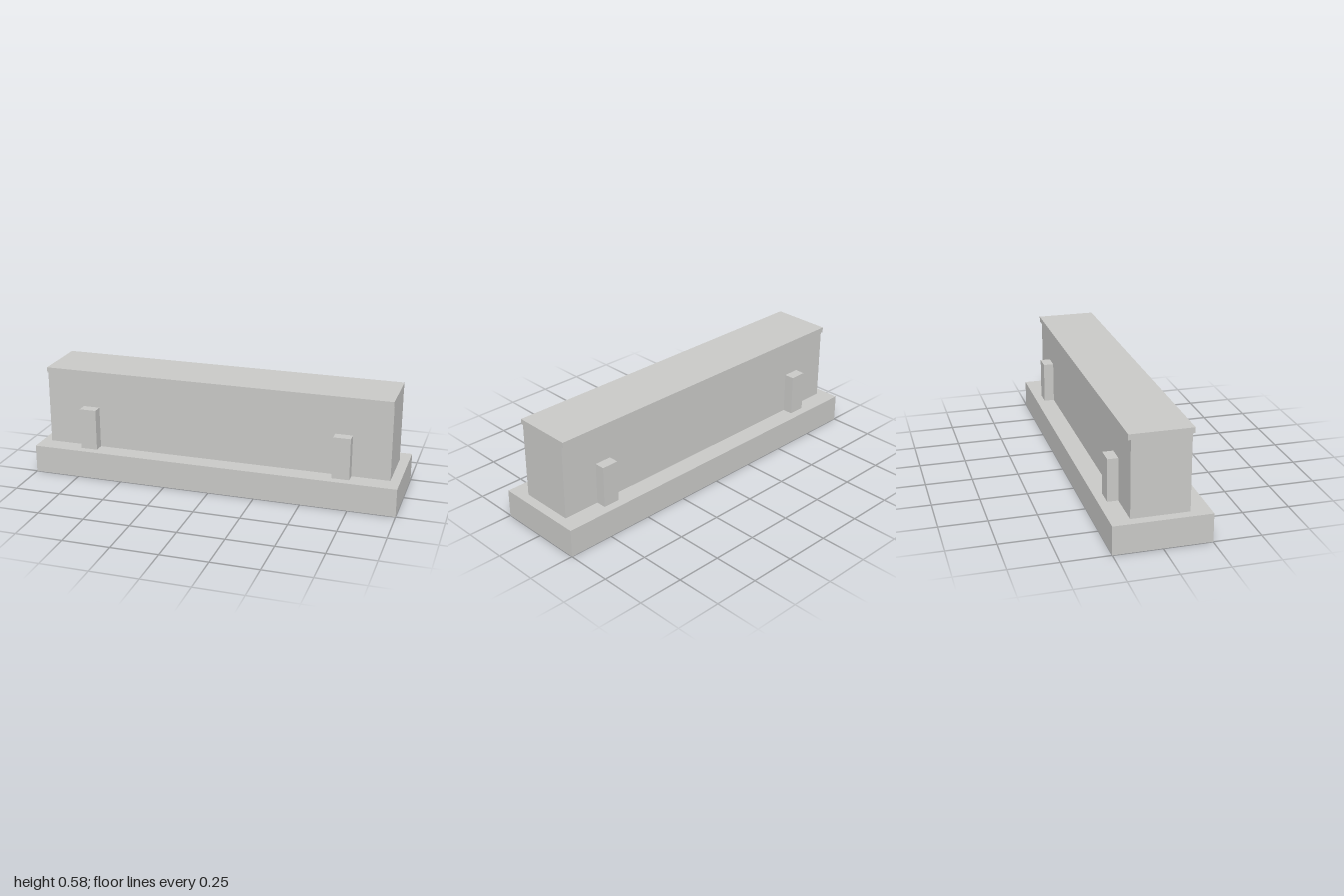
import * as THREE from 'three';

export function createModel() {
  const model = new THREE.Group();
  model.name = 'wallOnPlinth';
  const stone = new THREE.MeshStandardMaterial({ color: 0xc8c8c6 });
  stone.name = 'light grey stone';

  // Box standing on height y
  function block(name, width, height, depth, x, y, z) {
    const mesh = new THREE.Mesh(new THREE.BoxGeometry(width, height, depth), stone);
    mesh.name = name;
    mesh.position.set(x, y + height / 2, z);
    model.add(mesh);
  }

  block('plinth', 2, 0.151, 0.502, 0, 0, 0);
  block('wall', 1.898, 0.402, 0.299, 0, 0.151, 0);
  block('capSlab', 1.898, 0.029, 0.324, 0, 0.553, 0);

  // Short buttresses against both long faces
  for (const side of [1, -1]) {
    const face = side > 0 ? 'front' : 'back';
    block(face + 'LeftButtress', 0.092, 0.225, 0.056, 0.7, 0.151, side * 0.177);
    block(face + 'RightButtress', 0.092, 0.225, 0.056, -0.7, 0.151, side * 0.177);
  }
  return model;
}
